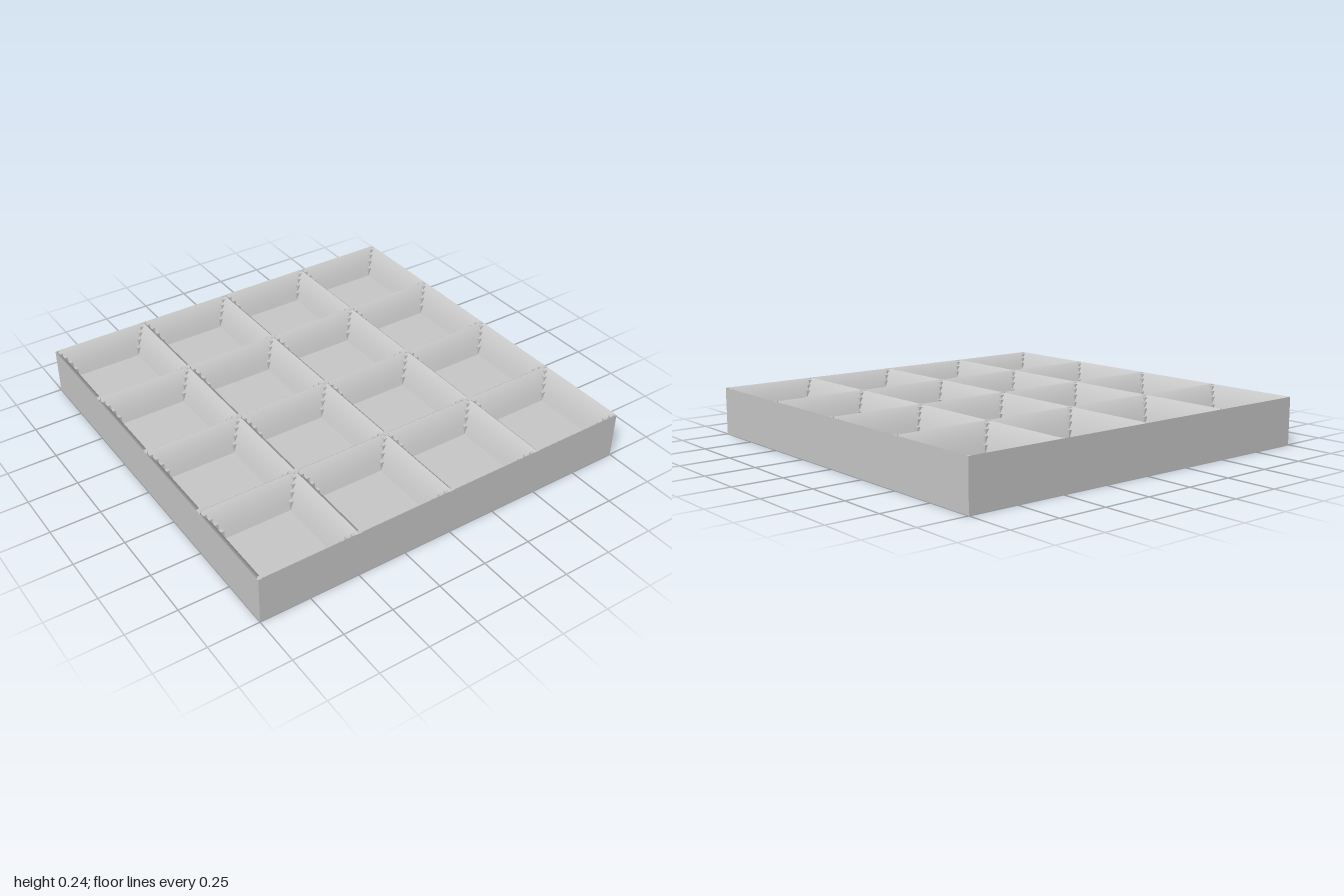
import * as THREE from 'three';
import { mergeGeometries } from 'three/addons/utils/BufferGeometryUtils.js';

const HEIGHT = 0.24, FLOOR = 0.105, CELLS = 4, CELL = 2 / CELLS;

// Pocket wall profile: [inset from cell edge, height]
const PROFILE = [[0, HEIGHT], [0.01, 0.232], [0.0275, 0.212], [0.045, 0.185], [0.0625, 0.15], [0.08, FLOOR]];

// One smoothly curved wall, mitred at both ends, on the back side of a cell
function wallGeometry() {
  const pos = [], index = [], half = CELL / 2;
  PROFILE.forEach(([d, y], j) => {
    pos.push(-half + d, y, -half + d, half - d, y, -half + d);
    if (j > 0) {
      const a = 2 * (j - 1);
      index.push(a, a + 2, a + 1, a + 1, a + 2, a + 3);
    }
  });
  const g = new THREE.BufferGeometry();
  g.setAttribute('position', new THREE.Float32BufferAttribute(pos, 3));
  g.setIndex(index);
  g.computeVertexNormals();
  return g;
}

// Small square steps running down the back left corner of a cell
function cornerStepGeometry() {
  const parts = [];
  for (let i = 1; i < PROFILE.length - 1; i++) {
    const [d, top] = PROFILE[i], [e, low] = PROFILE[i + 1];
    const mid = -CELL / 2 + (d + e) / 2;
    parts.push(new THREE.BoxGeometry(e - d, top - low, e - d).translate(mid, (top + low) / 2, mid));
  }
  return mergeGeometries(parts);
}

// Flat triangular cap in the corner; four meeting caps form a diamond
function cornerCapGeometry() {
  const r = 0.018;
  const tri = new THREE.Shape([new THREE.Vector2(0, 0), new THREE.Vector2(r, 0), new THREE.Vector2(0, r)]);
  return new THREE.ExtrudeGeometry(tri, { depth: 0.02, bevelEnabled: false })
    .rotateX(Math.PI / 2)
    .translate(-CELL / 2, HEIGHT, -CELL / 2);
}

// Repeat a geometry on all four sides of a cell
function fourTimes(geometry) {
  return mergeGeometries([0, 1, 2, 3].map(k => geometry.clone().rotateY(k * Math.PI / 2)));
}

export function createModel() {
  const group = new THREE.Group();
  const grey = new THREE.MeshStandardMaterial({ color: 0xc8c8c8 });
  grey.name = 'light grey';

  function add(parent, name, geometry) {
    const mesh = new THREE.Mesh(geometry, grey);
    mesh.name = name;
    parent.add(mesh);
    return mesh;
  }

  // Solid base, whose top is the floor of the pockets
  add(group, 'base', new THREE.BoxGeometry(2, FLOOR, 2).translate(0, FLOOR / 2, 0));

  // Outer faces of the rim
  const side = new THREE.PlaneGeometry(2, HEIGHT - FLOOR).translate(0, (HEIGHT + FLOOR) / 2, 1);
  add(group, 'outerSides', fourTimes(side));

  // Grid of pockets with flared walls
  const walls = fourTimes(wallGeometry());
  const steps = fourTimes(cornerStepGeometry());
  const caps = fourTimes(cornerCapGeometry());
  for (let row = 0; row < CELLS; row++) {
    for (let col = 0; col < CELLS; col++) {
      const pocket = new THREE.Group();
      pocket.name = 'pocket';
      pocket.position.set(-1 + (col + 0.5) * CELL, 0, -1 + (row + 0.5) * CELL);
      add(pocket, 'pocketWalls', walls);
      add(pocket, 'cornerSteps', steps);
      add(pocket, 'cornerCaps', caps);
      group.add(pocket);
    }
  }
  return group;
}
